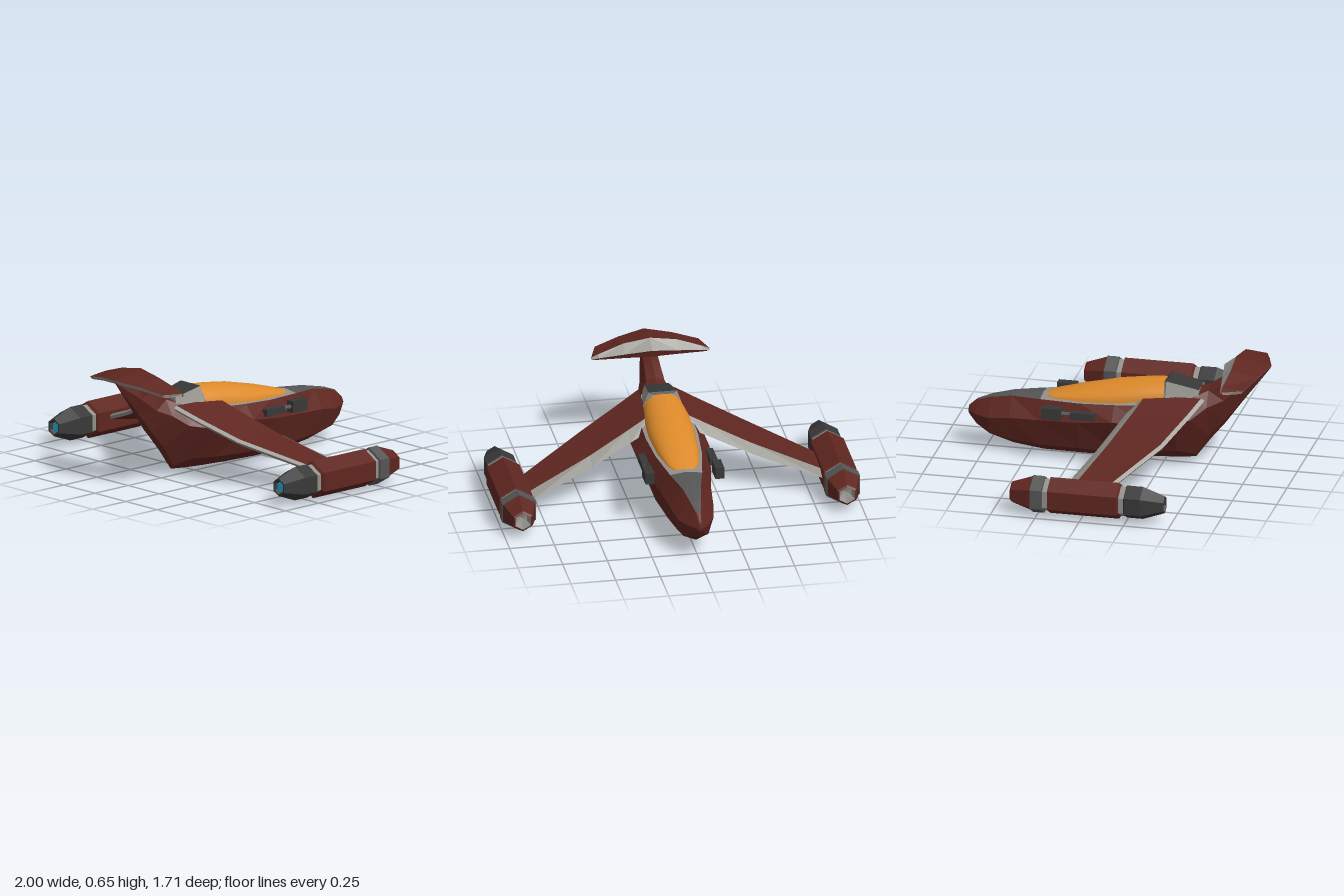
import * as THREE from 'three';

const mat = (color, flat = true) =>
  new THREE.MeshStandardMaterial({ color, flatShading: flat, side: THREE.DoubleSide });
const RED = mat(0x5f2620), GREY = mat(0x92908a), DARK = mat(0x383838), MID = mat(0x555555);
const GLASS = mat(0xdd8a2a, false), GLOW = mat(0x1fb0d8);

function mesh(name, geo, material) {
  const m = new THREE.Mesh(geo, material);
  m.name = name;
  return m;
}

// Skin between successive cross-sections (each a list of [x, y, z]), columns c0..c1
function skin(name, rings, material, c0 = 0, c1 = rings[0].length - 1) {
  const pos = [], idx = [], w = c1 - c0 + 1;
  rings.forEach(r => r.slice(c0, c1 + 1).forEach(p => pos.push(...p)));
  for (let i = 0; i < rings.length - 1; i++)
    for (let j = 0; j < w - 1; j++) {
      const a = i * w + j, d = a + w;
      idx.push(a, a + 1, d, a + 1, d + 1, d);
    }
  const g = new THREE.BufferGeometry();
  g.setAttribute('position', new THREE.Float32BufferAttribute(pos, 3));
  g.setIndex(idx);
  g.computeVertexNormals();
  return mesh(name, g, material);
}

// Half fuselage: z, keel y, chine x y, waist x y, shoulder x y, top y
function fuselage() {
  const g = new THREE.Group();
  g.name = 'fuselage';
  const rings = [
    [-.855, .2, 0, .2, 0, .2, 0, .2, .2],
    [-.85, .18, .01, .185, .02, .2, .008, .225, .23],
    [-.8, .12, .04, .14, .06, .2, .012, .27, .275],
    [-.72, .07, .07, .1, .1, .2, .03, .30, .305],
    [-.6, .03, .08, .08, .12, .22, .05, .325, .33],
    [-.43, .007, .1, .07, .14, .23, .09, .335, .347],
    [-.2, .004, .13, .08, .18, .25, .13, .345, .37],
    [0, .01, .13, .08, .21, .28, .147, .36, .4],
    [.2, .02, .12, .09, .21, .28, .147, .375, .41],
    [.34, .03, .09, .1, .19, .29, .13, .39, .43],
    [.43, .04, .02, .06, .15, .31, .09, .42, .455],
    [.51, .15, .03, .18, .1, .37, .05, .455, .48],
    [.6, .26, .03, .28, .07, .41, .045, .51, .54],
    [.7, .4, .02, .41, .05, .49, .04, .56, .575],
    [.85, .6, 0, .6, .004, .6, 0, .605, .605],
  ].map(([z, k, ax, ay, bx, by, cx, cy, t]) =>
    [[0, k, z], [ax, ay, z], [bx, by, z], [cx, cy, z], [0, t, z]]);
  g.add(skin('hull', rings, RED, 0, 3));
  g.add(skin('nosePanel', rings.slice(2, 6), MID, 3, 4));
  g.add(skin('cockpitRim', rings.slice(5, 11), GREY, 3, 4));
  g.add(skin('noseTip', rings.slice(0, 3), RED, 3, 4));
  g.add(skin('spine', rings.slice(10), RED, 3, 4));
  return g;
}

// Half canopy: z, half width, base y, top y
function canopy() {
  const rings = [[-.4, .045, .34, .35], [-.35, .085, .345, .366], [-.2, .115, .35, .41],
    [0, .13, .36, .458], [.15, .125, .385, .48], [.27, .11, .4, .492]]
    .map(([z, w, b, t]) => Array.from({ length: 9 }, (_, i) => {
      const a = i / 8 * Math.PI / 2;
      return [w * Math.cos(a), b + (t - b) * Math.sin(a), z];
    }));
  return skin('canopy', rings, GLASS);
}

function canopyFairing() {
  const g = new THREE.Group();
  g.name = 'canopyFairing';
  const rings = [[.265, .11, .4, .06, .49], [.28, .115, .4, .08, .5], [.46, .085, .41, .068, .46]]
    .map(([z, bx, by, tx, ty]) => [[bx, by, z], [tx, ty, z], [0, ty, z]]);
  g.add(skin('fairingSide', rings, GREY, 0, 1), skin('fairingTop', rings, DARK, 1, 2));
  const e = rings[2];
  g.add(skin('fairingEnd', [[[0, .41, .46], e[0]], [e[2], e[1]]], GREY));
  return g;
}

// Wing: x, leading z, trailing z, top y, depth
function wing() {
  const g = new THREE.Group();
  g.name = 'wing';
  const rings = [[.1, .1, .5, .425, .09], [.22, .06, .45, .37, .08],
    [.45, -.02, .35, .272, .072], [.83, -.15, .12, .138, .055]]
    .map(([x, l, t, y, d]) => [[x, y - d * .75, l], [x, y - .012, l + .065], [x, y, t - .02],
      [x, y - .012, t], [x, y - .03, t - .015], [x, y - d, l + .12], [x, y - d * .75, l]]);
  g.add(skin('leadingEdge', rings, GREY, 0, 1), skin('wingTop', rings, RED, 1, 2));
  g.add(skin('trailingEdge', rings, GREY, 2, 4), skin('wingUnderside', rings, RED, 4, 6));
  return g;
}

// Half of the drooped tailplane
function tailplane() {
  const g = new THREE.Group();
  g.name = 'tailplane';
  const rings = [
    [0, .59, .6, .655, .65, .855, .612, .835, .59, .6, .56],
    [.15, .612, .58, .66, .625, .81, .597, .795, .575, .62, .555],
    [.29, .632, .56, .645, .58, .765, .568, .75, .55, .635, .55],
    [.33, .64, .55, .645, .563, .652, .56, .655, .55, .645, .548],
  ].map(([x, ...p]) => [0, 2, 4, 6, 8, 0].map(i => [x, p[i + 1], p[i]]));
  g.add(skin('tailLeadingEdge', rings, GREY, 0, 1), skin('tailTop', rings, RED, 1, 2));
  g.add(skin('tailTrailingEdge', rings, GREY, 2, 3), skin('tailUnderside', rings, RED, 3, 5));
  return g;
}

// Six-sided engine pod; sections are profiles of radius, z
function engine() {
  const g = new THREE.Group();
  g.name = 'engine';
  const part = (name, material, ...pts) => g.add(mesh(name,
    new THREE.LatheGeometry(pts.map(p => new THREE.Vector2(...p)), 6).rotateX(Math.PI / 2), material));
  part('intake', GREY, [0, -.35], [.035, -.36], [.05, -.403]);
  part('frontCone', RED, [.05, -.403], [.062, -.395], [.103, -.28]);
  part('collar', MID, [.09, -.28], [.109, -.28], [.109, -.215], [.09, -.21]);
  part('frontGroove', GREY, [.095, -.215], [.095, -.18]);
  part('podBody', RED, [.09, -.185], [.106, -.182], [.106, .205], [.085, .218]);
  part('rearGroove', GREY, [.088, .21], [.088, .25]);
  part('nozzle', DARK, [.08, .24], [.095, .25], [.095, .34], [.05, .463], [.04, .463], [.03, .44]);
  part('exhaustGlow', GLOW, [.035, .445], [0, .445]);
  g.position.set(.906, .109, 0);
  return g;
}

function gun() {
  const g = new THREE.Group();
  g.name = 'gun';
  const box = (name, w, h, z0, z1, x, y, m) => {
    const b = mesh(name, new THREE.BoxGeometry(w, h, z1 - z0), m);
    b.position.set(x, y, (z0 + z1) / 2);
    g.add(b);
  };
  box('muzzleBlock', .05, .065, -.395, -.285, .195, .303, DARK);
  box('gunMount', .04, .04, -.235, -.1, .19, .298, DARK);
  const barrel = mesh('barrel', new THREE.CylinderGeometry(.013, .013, .1, 8).rotateX(Math.PI / 2), MID);
  barrel.position.set(.195, .303, -.26);
  g.add(barrel);
  return g;
}

export function createModel() {
  const model = new THREE.Group();
  model.name = 'starfighter';
  const left = new THREE.Group();
  left.name = 'leftHalf';
  left.add(fuselage(), canopy(), canopyFairing(), wing(), tailplane(), engine(), gun());
  // Mirror the whole half across the centre plane
  const right = left.clone();
  right.name = 'rightHalf';
  right.scale.x = -1;
  model.add(left, right);
  return model;
}
